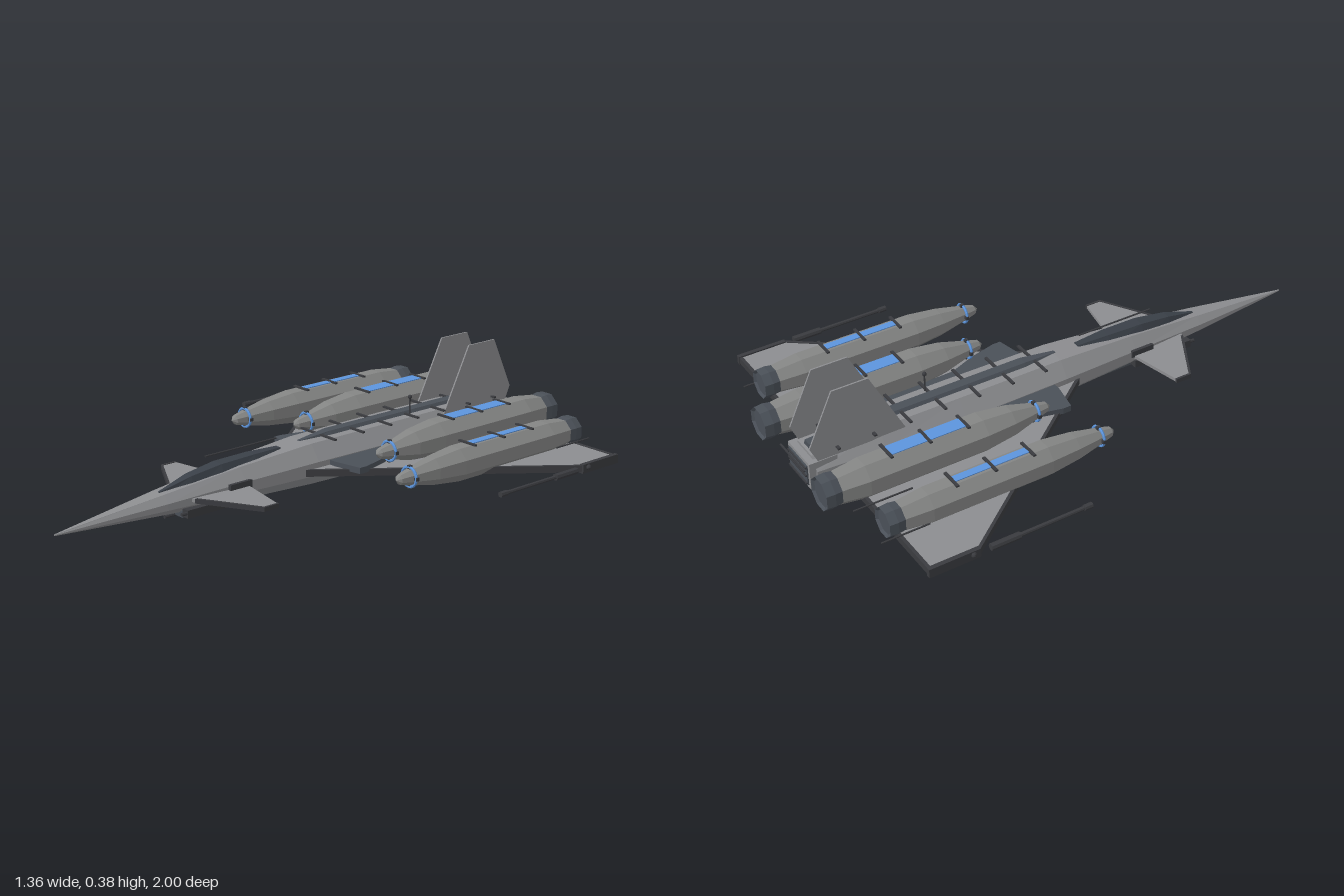
import * as THREE from 'three';

const mat = (name, color) => {
  const m = new THREE.MeshStandardMaterial({ color, flatShading: true });
  m.name = name;
  return m;
};

export function createModel() {
  const root = new THREE.Group();
  root.name = 'strikeCraft';
  const hull = mat('hullGrey', 0x8c8d90);
  const pod = mat('podGrey', 0x848584);
  const dark = mat('slateGrey', 0x4a5058);
  const glass = mat('canopyGlass', 0x3a4048);
  const metal = mat('gunMetal', 0x3a3b3f);
  const blue = mat('glowBlue', 0x5c94dc);

  const add = (name, geo, material, x = 0, y = 0, z = 0, parent = root) => {
    const m = new THREE.Mesh(geo, material);
    m.name = name;
    m.position.set(x, y, z);
    parent.add(m);
    return m;
  };
  const box = (name, w, h, d, material, x, y, z, parent) =>
    add(name, new THREE.BoxGeometry(w, h, d), material, x, y, z, parent);
  // Rod along z between two depths
  const rod = (name, r, z0, z1, x, y, material = metal, parent = root) =>
    add(name, new THREE.CylinderGeometry(r, r, Math.abs(z1 - z0), 8).rotateX(Math.PI / 2),
      material, x, y, (z0 + z1) / 2, parent);
  // Horizontal plate from [x, z] outline
  const plate = (name, pts, s, y, h, material) => {
    const shape = new THREE.Shape(pts.map(([x, z]) => new THREE.Vector2(s * x, -z)));
    const g = new THREE.ExtrudeGeometry(shape, { depth: h, bevelEnabled: false });
    return add(name, g.rotateX(-Math.PI / 2), material, 0, y, 0);
  };
  // Loft of a cross-section through stations [z, halfWidth, bottom, top], front to back
  const loft = (section, stations) => {
    const n = section.length, pos = [], idx = [];
    for (const [z, w, b, t] of stations)
      for (const [u, v] of section) pos.push(u * w, b + v * (t - b), z);
    for (let i = 0; i < stations.length - 1; i++)
      for (let j = 0; j < n; j++) {
        const a = i * n + j, b = i * n + (j + 1) % n;
        idx.push(a, a + n, b + n, a, b + n, b);
      }
    const last = (stations.length - 1) * n;
    for (let j = 1; j < n - 1; j++) {
      idx.push(0, j, j + 1);
      idx.push(last, last + j + 1, last + j);
    }
    const g = new THREE.BufferGeometry();
    g.setAttribute('position', new THREE.Float32BufferAttribute(pos, 3));
    g.setIndex(idx);
    const flat = g.toNonIndexed();
    flat.computeVertexNormals();
    return flat;
  };

  // Fuselage
  const octagon = [[1, 0.3], [1, 0.62], [0.58, 1], [-0.58, 1], [-1, 0.62], [-1, 0.3], [-0.55, 0], [0.55, 0]];
  add('fuselage', loft(octagon, [
    [1, 0.002, 0.054, 0.059], [0.6, 0.05, 0.034, 0.104], [0.3, 0.075, 0.02, 0.135],
    [0, 0.095, 0.01, 0.155], [-0.4, 0.1, 0.003, 0.157], [-0.7, 0.097, 0, 0.157], [-0.94, 0.082, 0.025, 0.14],
  ]), hull);
  // Canopy and dorsal spine
  const ridge = [[1, 0], [0.5, 1], [-0.5, 1], [-1, 0]];
  add('canopy', loft(ridge, [
    [0.6, 0.008, 0.085, 0.106], [0.48, 0.034, 0.09, 0.137], [0.36, 0.045, 0.1, 0.153],
    [0.22, 0.04, 0.12, 0.156], [0.1, 0.022, 0.13, 0.153],
  ]), glass);
  add('spine', loft(ridge, [
    [0.01, 0.012, 0.14, 0.156], [-0.12, 0.034, 0.14, 0.168], [-0.8, 0.036, 0.14, 0.168], [-0.93, 0.032, 0.12, 0.16],
  ]), dark);
  for (let i = 0; i < 7; i++) box('spineBar', 0.18, 0.006, 0.01, metal, 0, 0.16, -0.08 - i * 0.13);

  // Rear exhaust
  box('exhaustFrame', 0.15, 0.1, 0.1, hull, 0, 0.08, -0.913);
  box('exhaustGlow', 0.125, 0.075, 0.006, dark, 0, 0.08, -0.965);
  for (const y of [0.05, 0.08, 0.11]) box('exhaustVane', 0.125, 0.005, 0.006, metal, 0, y, -0.97);
  box('tailBar', 0.17, 0.004, 0.006, metal, 0, 0.12, -0.985);

  // Chin pack and nose probes
  box('chinPod', 0.09, 0.022, 0.36, dark, 0, 0.026, 0.36);
  rod('chinGun', 0.006, 0.58, 0.3, 0, 0.015);
  rod('dorsalProbe', 0.003, 0.41, 0.11, 0, 0.185);
  add('antennaMast', new THREE.CylinderGeometry(0.003, 0.003, 0.08, 6), metal, 0.04, 0.185, -0.475);
  add('antennaBall', new THREE.SphereGeometry(0.008, 8, 6), metal, 0.04, 0.225, -0.475);

  // Engine nacelle: octagonal body along z
  const lathe = (pts) => new THREE.LatheGeometry(
    pts.map(([r, z]) => new THREE.Vector2(r, z)), 8, Math.PI / 8).rotateX(Math.PI / 2);
  const nacelle = (name, x, y, a, nose, tail, strip, stripW) => {
    const g = new THREE.Group();
    g.name = name;
    g.position.set(x, y, 0);
    root.add(g);
    const R = a / Math.cos(Math.PI / 8);
    add('nacelleBody', lathe([[0, tail + 0.05], [R * 0.82, tail + 0.055], [R, tail + 0.15],
      [R, nose - 0.27], [R * 0.8, nose - 0.16], [0.027, nose - 0.05], [0.018, nose - 0.015], [0, nose]]), pod, 0, 0, 0, g);
    add('nozzle', lathe([[0, tail + 0.008], [R * 0.7, tail + 0.008], [R * 0.84, tail],
      [R * 0.88, tail + 0.03], [R * 0.8, tail + 0.065]]), dark, 0, 0, 0, g);
    add('intakeRing', new THREE.TorusGeometry(0.034, 0.005, 6, 24), blue, 0, 0, nose - 0.06, g);
    for (let i = 0; i < 4; i++) {
      const t = i * Math.PI / 2;
      box('ringStrut', 0.012, 0.012, 0.012, metal, 0.034 * Math.cos(t), 0.034 * Math.sin(t), nose - 0.062, g);
    }
    const [z0, z1] = strip;
    box('glowStrip', stripW, 0.006, z0 - z1, blue, 0, a, (z0 + z1) / 2, g);
    for (let i = 0; i < 3; i++)
      box('stripBar', 0.08, 0.006, 0.01, metal, 0, a + 0.003, z0 + (z1 - z0) * i / 2, g);
  };

  for (const s of [1, -1]) {
    // Wing with dark edges and tip rail
    plate('wing', [[0.05, 0.1], [0.66, -0.69], [0.66, -0.86], [0.05, -0.86]], s, 0.06, 0.02, hull);
    plate('leadingEdge', [[0.085, 0.062], [0.663, -0.688], [0.655, -0.695], [0.08, 0.05]], s, 0.058, 0.024, metal);
    box('trailingEdge', 0.57, 0.024, 0.012, metal, s * 0.375, 0.07, -0.862);
    box('tipRail', 0.016, 0.032, 0.18, metal, s * 0.66, 0.069, -0.78);
    // Raised deck beside the fuselage
    plate('wingDeck', [[0.08, -0.05], [0.12, -0.05], [0.225, -0.07], [0.225, -0.1],
      [0.2, -0.2], [0.16, -0.3], [0.15, -0.84], [0.08, -0.84]], s, 0.075, 0.022, dark);
    // Canard
    plate('canard', [[0.05, 0.515], [0.275, 0.385], [0.275, 0.33], [0.05, 0.285]], s, 0.066, 0.012, hull);
    plate('canardEdge', [[0.07, 0.508], [0.278, 0.388], [0.278, 0.328], [0.27, 0.328], [0.27, 0.384], [0.07, 0.498]],
      s, 0.064, 0.016, metal);
    // Tail fin
    const fin = new THREE.Shape([[0.61, 0.13], [0.735, 0.375], [0.865, 0.375], [0.955, 0.185], [0.93, 0.13]]
      .map(([z, y]) => new THREE.Vector2(z, y)));
    add('tailFin', new THREE.ExtrudeGeometry(fin, { depth: 0.006, bevelEnabled: false }).rotateY(Math.PI / 2),
      hull, s * 0.069 - 0.003);
    // Engines and their pylons
    nacelle('innerEngine', s * 0.216, 0.125, 0.064, -0.15, -1, [-0.48, -0.76], 0.05);
    nacelle('outerEngine', s * 0.43, 0.113, 0.057, -0.04, -0.895, [-0.37, -0.65], 0.028);
    box('pylon', 0.05, 0.02, 0.4, dark, s * 0.216, 0.08, -0.6);
    // Wingtip cannon
    rod('cannonBarrel', 0.007, -0.29, -0.56, s * 0.666, 0.072);
    rod('cannonBreech', 0.012, -0.55, -0.655, s * 0.666, 0.072);
    rod('cannonMuzzle', 0.01, -0.285, -0.315, s * 0.666, 0.072);
    add('tipLight', new THREE.SphereGeometry(0.01, 8, 6), metal, s * 0.668, 0.072, -0.715);
    // Thin trailing probes
    for (const [x, z0, z1] of [[0.12, -0.72, -0.93], [0.303, -0.72, -0.93], [0.483, -0.76, -0.93]])
      rod('trailingProbe', 0.003, z0, z1, s * x, 0.085);
    // Chin guns and side vents
    box('gunHousing', 0.03, 0.028, 0.24, metal, s * 0.06, 0.034, 0.42);
    rod('gunBarrel', 0.006, 0.56, 0.5, s * 0.066, 0.036);
    box('sideVent', 0.012, 0.025, 0.09, metal, s * 0.077, 0.085, 0.325);
  }
  return root;
}
